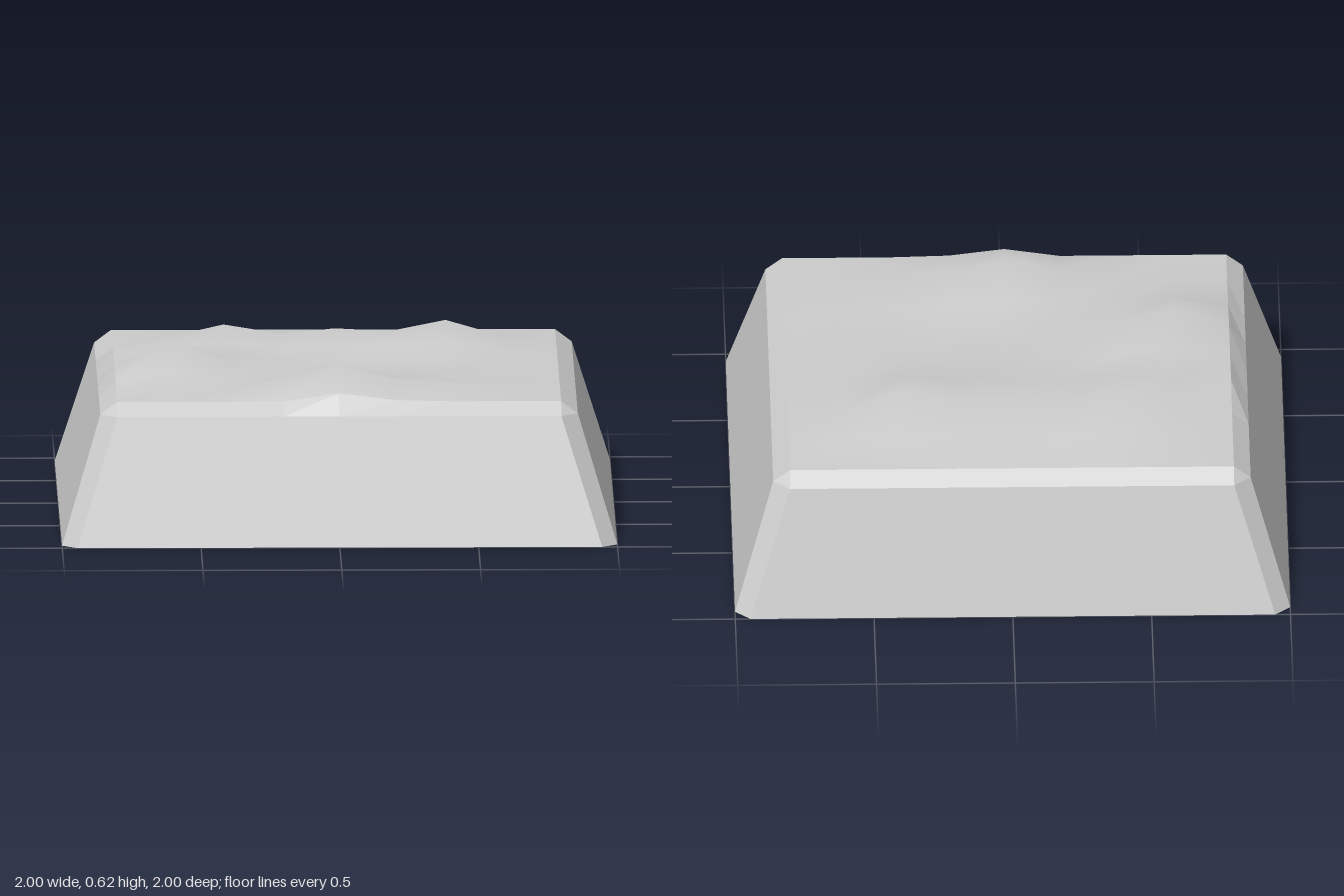
import * as THREE from 'three';

// Bumps of the top surface in hundredths, rows from back to front, columns from -x to +x
const BUMPS = [
  [0, 0, 0, 0, 0, 0, 0, 0, 0],
  [0, 2, 3, 2, 3, 2, 2, 1, 0],
  [0, 4, 8.5, 5, 7, 6, 10, 3, 0],
  [3, 4, 5, 3, 4, 4, 5, 2, 0],
  [2, 5, 3, 2, 2, 1, 1, 1, 0],
  [3, 11.5, 5, 2, 2, 1, 2, 1, 0],
  [1, 4, 2, 2, 4, 2, 1, 1, 0],
  [0, 1, 1, 5, 10, 5, 3, 1, 0],
  [0, 0, 0, 0, 3, 0.5, 0, 0, 0],
];
const TOP = 0.5, SHOULDER = 0.455, EDGE = 0.8, STEP = 0.2;

const gridIndex = (v) => Math.round((v + EDGE) / STEP);
const topHeight = (x, z) => TOP + BUMPS[gridIndex(z)][gridIndex(x)] / 100;

// Turn a point of the front side to side k (front, +x, back, -x)
function turn(k, x, y, z) {
  for (let i = 0; i < k; i++) [x, z] = [z, -x];
  return [x, y, z];
}

function meshFromTriangles(name, points, material) {
  const geometry = new THREE.BufferGeometry();
  geometry.setAttribute('position', new THREE.Float32BufferAttribute(points.flat(), 3));
  geometry.computeVertexNormals();
  const mesh = new THREE.Mesh(geometry, material);
  mesh.name = name;
  return mesh;
}

const quad = (a, b, c, d) => [a, b, c, a, c, d];

export function createModel() {
  const group = new THREE.Group();
  group.name = 'terrainBlock';
  const material = new THREE.MeshStandardMaterial({ color: 0xcccccc, side: THREE.DoubleSide });

  // Sloping walls with chamfered corners, open underneath
  const walls = [];
  const bevel = [];
  for (let k = 0; k < 4; k++) {
    const a = turn(k, -0.945, 0, 1), b = turn(k, 0.945, 0, 1);
    const c = turn(k, EDGE, SHOULDER, 0.86), d = turn(k, -EDGE, SHOULDER, 0.86);
    const nextLow = turn(k, 1, 0, 0.945), nextHigh = turn(k, 0.86, SHOULDER, EDGE);
    walls.push(...quad(a, b, c, d), ...quad(b, nextLow, nextHigh, c));

    // Bevel strip whose upper edge follows the terrain
    const inner = (i) => {
      const p = turn(k, -EDGE + i * STEP, 0, EDGE);
      p[1] = topHeight(p[0], p[2]);
      return p;
    };
    const outer = (i) => turn(k, -EDGE + i * STEP, SHOULDER, 0.86);
    for (let i = 0; i < 8; i++) {
      bevel.push(...quad(outer(i), outer(i + 1), inner(i + 1), inner(i)));
    }
    bevel.push(c, nextHigh, inner(8));
  }
  group.add(meshFromTriangles('walls', walls, material));
  group.add(meshFromTriangles('bevel', bevel, material));

  // Smooth uneven top
  const surface = new THREE.PlaneGeometry(2 * EDGE, 2 * EDGE, 8, 8).rotateX(-Math.PI / 2);
  const pos = surface.attributes.position;
  for (let i = 0; i < pos.count; i++) pos.setY(i, topHeight(pos.getX(i), pos.getZ(i)));
  surface.computeVertexNormals();
  const top = new THREE.Mesh(surface, material);
  top.name = 'unevenTop';
  group.add(top);

  return group;
}
